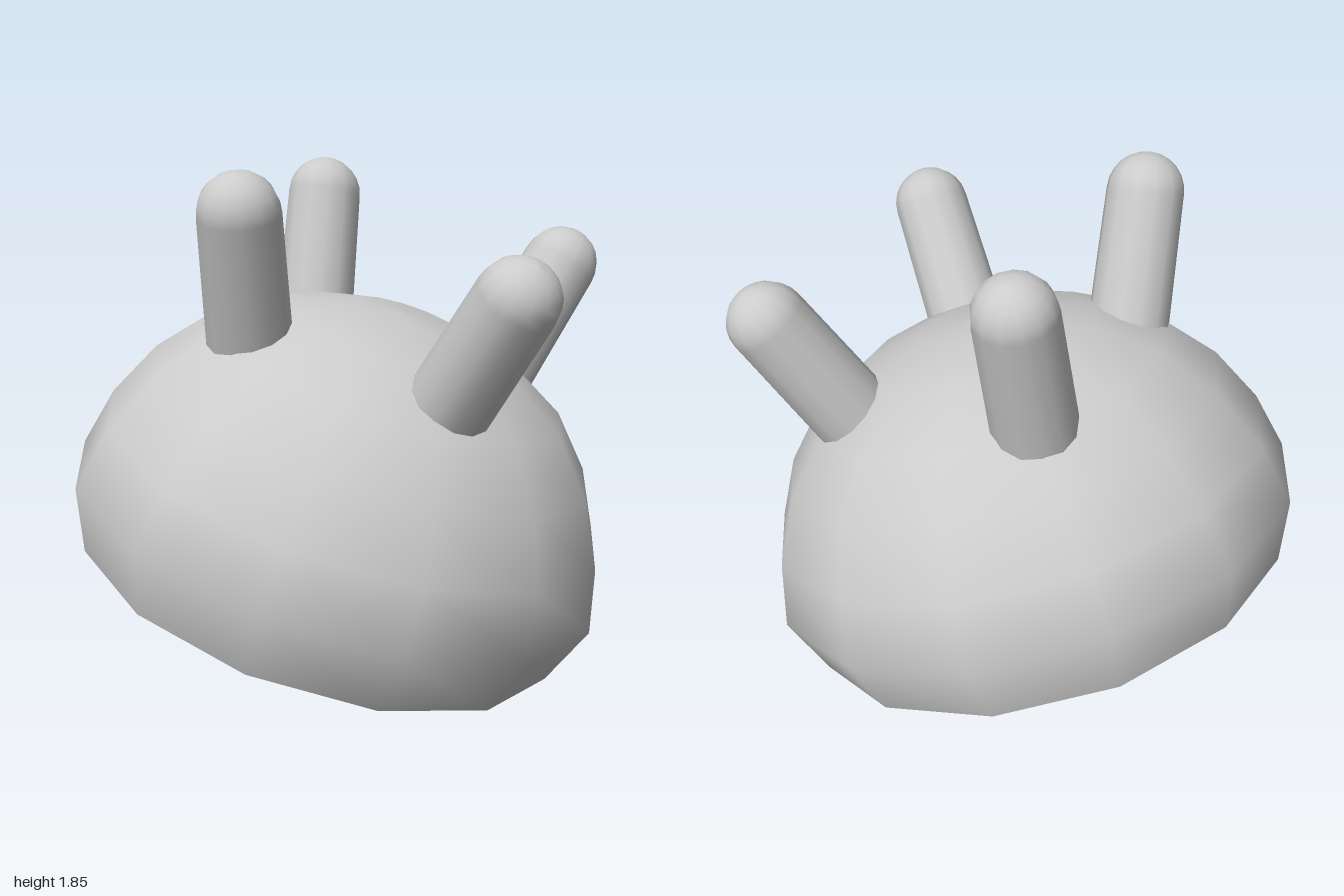
import * as THREE from 'three';

const SIDES = 13;
const material = new THREE.MeshStandardMaterial({ color: 0xcccccc, side: THREE.DoubleSide });
const toPoints = (pairs) => pairs.map(([r, y]) => new THREE.Vector2(r, y));

// A lathed band of the shell, turned so one corner points to +x
function lathePart(name, pairs) {
  const geometry = new THREE.LatheGeometry(toPoints(pairs), SIDES);
  geometry.rotateY(Math.PI / 2);
  const mesh = new THREE.Mesh(geometry, material);
  mesh.name = name;
  return mesh;
}

// Slightly tapered round-tipped peg: tip is the centre of its rounded end, dir points outwards
function makePeg(name, tip, dir) {
  const radius = 0.142, baseRadius = 0.152, length = 0.55, steps = 6;
  const profile = [[0, -length], [baseRadius, -length], [baseRadius, -length]];
  for (let i = 0; i <= steps; i++) {
    const a = (i / steps) * Math.PI / 2;
    profile.push([i === steps ? 0 : radius * Math.cos(a), radius * Math.sin(a)]);
  }
  const mesh = new THREE.Mesh(new THREE.LatheGeometry(toPoints(profile), SIDES), material);
  mesh.name = name;
  mesh.position.set(...tip);
  mesh.quaternion.setFromUnitVectors(
    new THREE.Vector3(0, 1, 0), new THREE.Vector3(...dir).normalize());
  return mesh;
}

export function createModel() {
  const model = new THREE.Group();
  model.name = 'peggedDome';

  // Thin hollow dome with an inward lip, tilted down towards +x
  const dome = new THREE.Group();
  dome.name = 'dome';
  dome.add(
    lathePart('shell', [
      [0.918, -0.233], [1.007, 0], [0.949, 0.227], [0.836, 0.445],
      [0.67, 0.632], [0.441, 0.768], [0.205, 0.836], [0, 0.847],
    ]),
    lathePart('lip', [[0.787, -0.217], [0.918, -0.233]]),
  );
  dome.position.set(-0.021, 0.501, 0);
  dome.rotation.z = -THREE.MathUtils.degToRad(17.75);
  model.add(dome);

  // Four pegs fanning out of the top
  model.add(
    makePeg('frontRightPeg', [-0.15, 1.685, 0.56], [0.105, 1, 0.39]),
    makePeg('backRightPeg', [-0.272, 1.703, -0.505], [-0.01, 1, -0.26]),
    makePeg('frontLeftPeg', [0.773, 1.433, 0.505], [0.69, 1, 0.39]),
    makePeg('backLeftPeg', [0.663, 1.448, -0.602], [0.51, 1, -0.43]),
  );
  return model;
}
